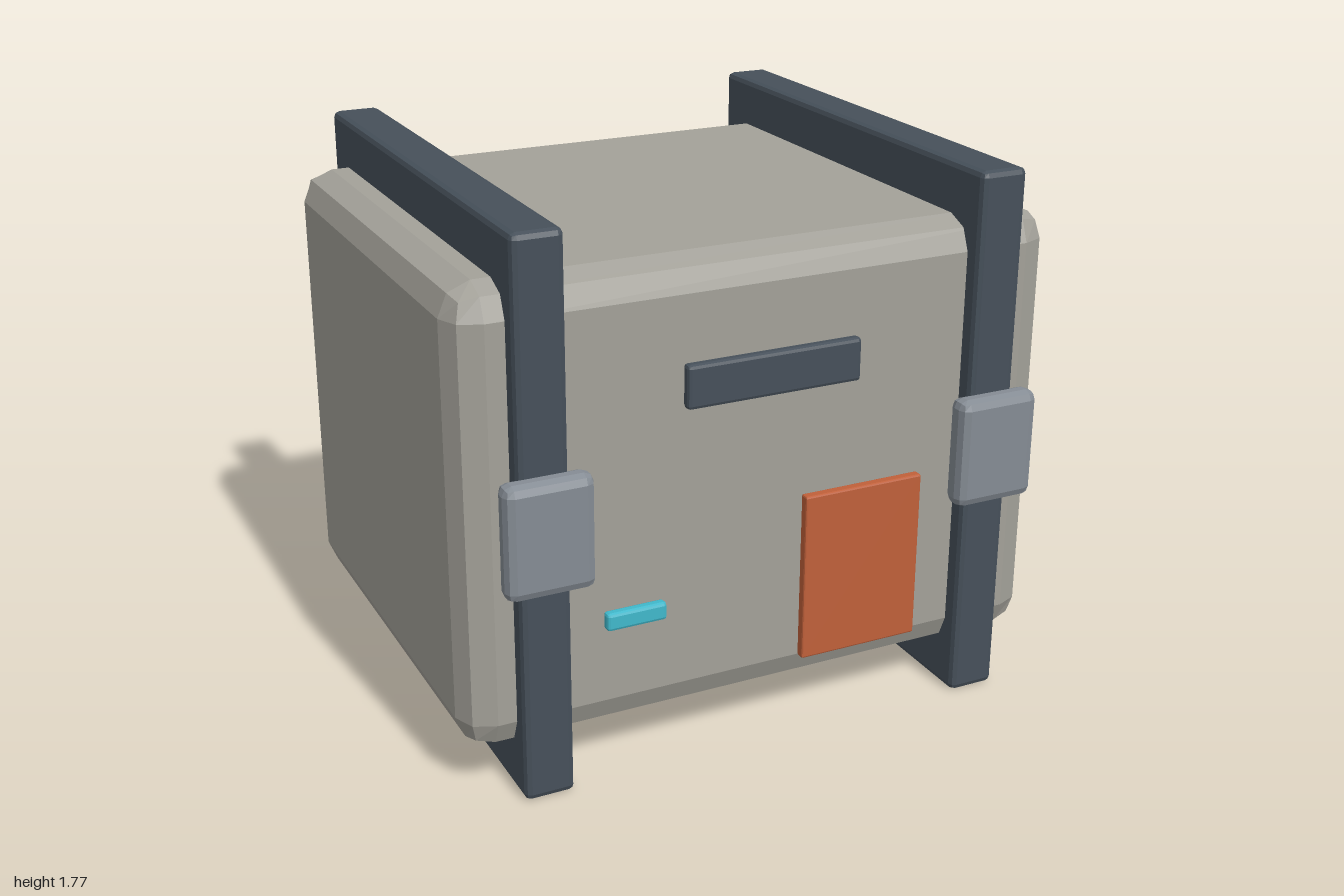
import * as THREE from 'three';

const material = (name, color) => {
  const m = new THREE.MeshStandardMaterial({ color, flatShading: true });
  m.name = name;
  return m;
};

// Box with a two-step bevel: each edge gets two facets, each corner a small fan.
function bevelBox(w, h, d, r) {
  const geo = new THREE.BoxGeometry(1, 1, 1, 3, 3, 3);
  const pos = geo.attributes.position;
  const inner = new THREE.Vector3(w / 2 - r, h / 2 - r, d / 2 - r);
  const p = new THREE.Vector3();
  const dir = new THREE.Vector3();
  const step = (c) => (Math.abs(c) > 0.4 ? Math.sign(c) : 0);
  for (let i = 0; i < pos.count; i++) {
    p.fromBufferAttribute(pos, i);
    dir.set(step(p.x), step(p.y), step(p.z)).normalize();
    p.set(Math.sign(p.x), Math.sign(p.y), Math.sign(p.z)).multiply(inner).addScaledVector(dir, r);
    pos.setXYZ(i, p.x, p.y, p.z);
  }
  geo.computeVertexNormals();
  return geo;
}

export function createModel() {
  const group = new THREE.Group();
  group.name = 'cargoCrate';

  const shell = material('warm grey shell', 0xa3a199);
  const frame = material('dark slate frame', 0x46505a);
  const metal = material('grey metal', 0x858c94);
  const orange = material('orange panel', 0xc0603a);
  const cyan = material('cyan light', 0x40b8cb);

  const add = (name, mat, size, r, x, y, z) => {
    const mesh = new THREE.Mesh(bevelBox(...size, r), mat);
    mesh.name = name;
    mesh.position.set(x, y, z);
    group.add(mesh);
  };

  // Main container
  add('body', shell, [2, 1.464, 1.546], 0.1, 0, 0.88, 0);

  // Bands around the body, with a clasp at front and back
  for (const [side, sx] of [['left', 1], ['right', -1]]) {
    add(side + 'Band', frame, [0.16, 1.775, 1.668], 0.02, sx * 0.76, 0.8875, 0);
    for (const [end, sz] of [['Front', 1], ['Back', -1]]) {
      add(side + end + 'Clasp', metal, [0.28, 0.36, 0.085], 0.03, sx * 0.76, 0.88, sz * 0.851);
    }
  }

  // Fittings, the same on front and back
  for (const [end, sz] of [['front', 1], ['back', -1]]) {
    add(end + 'Handle', frame, [0.585, 0.14, 0.04], 0.012, 0, 1.234, sz * 0.79);
    add(end + 'Panel', orange, [0.416, 0.562, 0.034], 0.006, 0.326, 0.526, sz * 0.788);
    add(end + 'Light', cyan, [0.197, 0.058, 0.036], 0.01, -0.457, 0.526, sz * 0.79);
  }

  return group;
}
